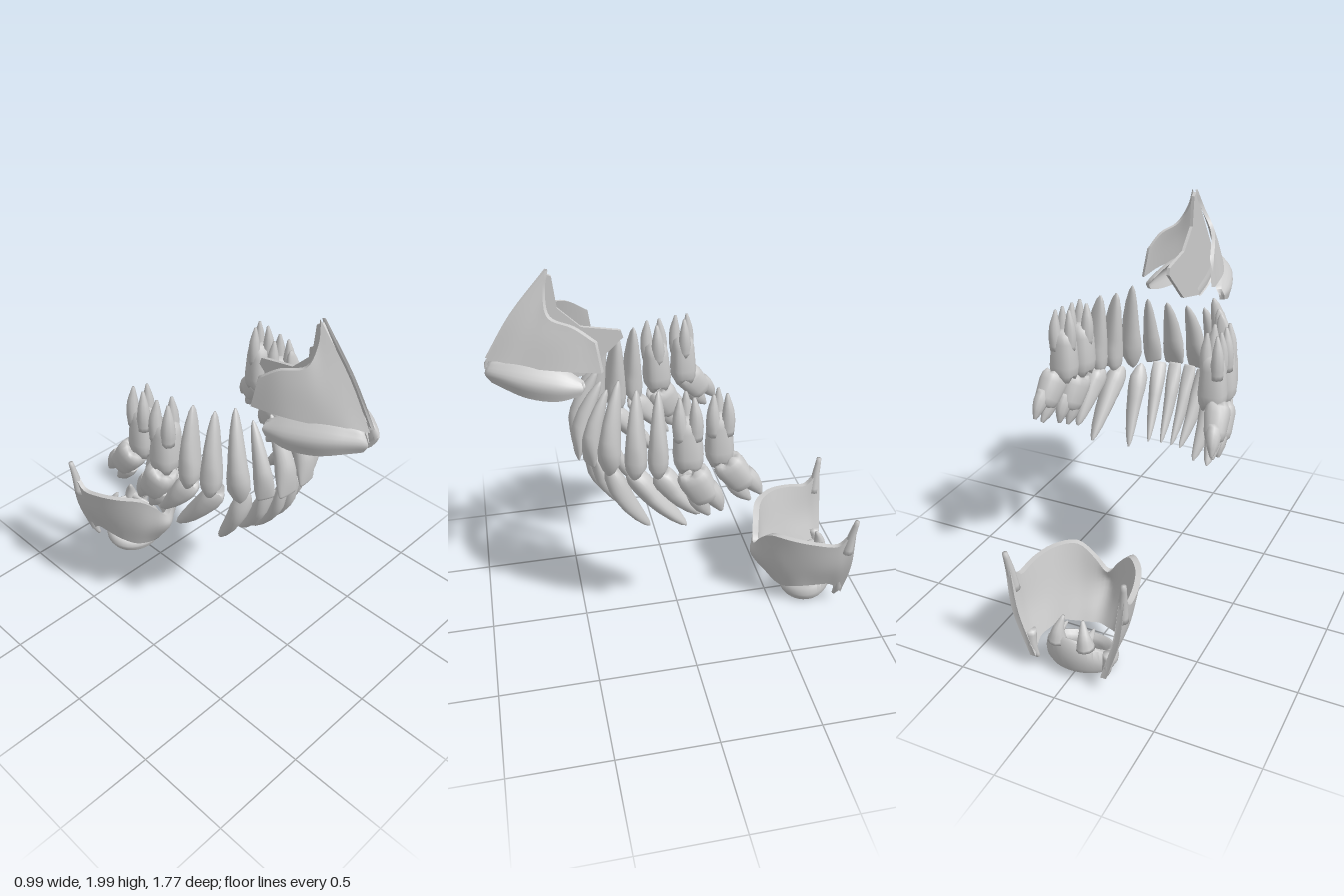
import * as THREE from 'three';
import { mergeGeometries, toCreasedNormals } from 'three/addons/utils/BufferGeometryUtils.js';

const V = (x, y, z) => new THREE.Vector3(x, y, z);
const material = new THREE.MeshStandardMaterial({ color: 0xcccccc, roughness: 0.7 });

// Skin a list of closed loops; ends are capped unless the loops form a ring.
function loft(loops, ring = false) {
  const n = loops[0].length, pts = loops.flat(), idx = [];
  const rows = ring ? loops.length : loops.length - 1;
  for (let i = 0; i < rows; i++) for (let j = 0; j < n; j++) {
    const k = (j + 1) % n, i2 = (i + 1) % loops.length;
    const a = i * n + j, b = i * n + k, c = i2 * n + j, d = i2 * n + k;
    idx.push(a, b, c, b, d, c);
  }
  if (!ring) for (const [i, end] of [[0, false], [loops.length - 1, true]]) {
    const c = pts.length;
    pts.push(loops[i].reduce((m, p) => m.add(p), V(0, 0, 0)).divideScalar(n));
    for (let j = 0; j < n; j++) {
      const a = i * n + j, b = i * n + (j + 1) % n;
      end ? idx.push(c, a, b) : idx.push(c, b, a);
    }
  }
  // turn the faces outward whichever way the loops run
  let volume = 0;
  for (let i = 0; i < idx.length; i += 3)
    volume += pts[idx[i]].dot(V(0, 0, 0).crossVectors(pts[idx[i + 1]], pts[idx[i + 2]]));
  if (volume < 0) idx.reverse();
  const g = new THREE.BufferGeometry().setFromPoints(pts);
  g.setIndex(idx);
  g.computeVertexNormals();
  return g;
}

// Tapered, curved body with round sections through a few points.
function spike(points, radii, flat = 1) {
  const curve = new THREE.CatmullRomCurve3(points), loops = [];
  for (let i = 0; i <= 8; i++) {
    const t = i / 8, f = t * (radii.length - 1), k = Math.min(Math.floor(f), radii.length - 2);
    const r = THREE.MathUtils.lerp(radii[k], radii[k + 1], f - k);
    const a = curve.getTangent(t), w = V(1, 0, 0).addScaledVector(a, -a.x).normalize();
    const d = V(0, 0, 0).crossVectors(a, w), c = curve.getPoint(t);
    loops.push(Array.from({ length: 10 }, (_, j) => {
      const q = j * Math.PI / 5;
      return c.clone().addScaledVector(w, r * Math.cos(q)).addScaledVector(d, r * flat * Math.sin(q));
    }));
  }
  return loft(loops);
}

// Curved plate: smooth through stations of points, given thickness by an inner-surface rule.
function plate(stations, inner, nu = 20, nv = 8) {
  const rows = stations[0].map((_, r) => new THREE.CatmullRomCurve3(stations.map(s => V(...s[r]))));
  const loops = [];
  for (let i = 0; i <= nu; i++) {
    const section = new THREE.CatmullRomCurve3(rows.map(c => c.getPoint(i / nu)));
    const outer = section.getPoints(nv);
    loops.push([...outer, ...outer.map(inner).reverse()]);
  }
  return toCreasedNormals(loft(loops), 1);
}

// Tooth sections from biting edge to root: [position, width, depth]
const rootEnd = [[0.42, 0.84, 1], [0.6, 0.7, 0.88], [0.8, 0.5, 0.64], [0.94, 0.28, 0.36], [1, 0.08, 0.1]];
const profiles = {
  incisor: [[0, 0.8, 0.16], [0.03, 0.9, 0.3], [0.15, 1, 0.62], [0.3, 0.95, 0.97], ...rootEnd],
  canine: [[0, 0.14, 0.12], [0.05, 0.55, 0.4], [0.16, 0.98, 0.78], [0.29, 0.98, 1], ...rootEnd],
  premolar: [[0.08, 0.08, 0.08], [0.04, 0.45, 0.45], [0.02, 0.68, 0.7], [0.09, 0.92, 0.93], [0.2, 1, 1], [0.32, 0.94, 0.97], ...rootEnd],
  molar: [[0.1, 0.08, 0.08], [0.06, 0.4, 0.4], [0.03, 0.74, 0.74], [0.1, 0.95, 0.94], [0.22, 1, 1], [0.4, 0.93, 0.92], [0.55, 0.87, 0.85], [0.66, 0.76, 0.72], [0.71, 0.4, 0.4]],
};
// Root positions across a molar, in widths and depths (outward positive)
const rootSpots = { upper: [[-0.24, 0.2], [0.24, 0.2], [0, -0.24]], lower: [[-0.22, 0], [0.22, 0]] };

function tooth(kind, jaw, crown, tip, w, d, tangent) {
  const A = tip.clone().sub(crown), L = A.length();
  A.normalize();
  const W = tangent.clone().addScaledVector(A, -tangent.dot(A)).normalize();
  const D = V(0, 0, 0).crossVectors(A, W);
  const side = Math.sign(D.dot(V(crown.x, 0, crown.z + 0.1)));
  const bow = { incisor: 0.025, canine: 0.025, premolar: 0.012, molar: 0 }[kind];
  const at = (t, u, v) => crown.clone().addScaledVector(A, t * L)
    .addScaledVector(W, u).addScaledVector(D, v + side * bow * Math.sin(Math.PI * t));
  const cusps = { premolar: 2, molar: 4 }[kind] || 0;
  const loops = profiles[kind].map(([t, ws, ds]) => Array.from({ length: 20 }, (_, j) => {
    const q = j * Math.PI / 10, c = Math.cos(q), n = Math.sin(q);
    const square = cusps ? Math.pow(c ** 4 + n ** 4, -0.13) : 1;
    const wave = cusps === 4 ? Math.cos(4 * q) : cusps ? Math.cos(2 * q) : 0;
    const lift = t < 0.08 ? 0.04 * wave : 0;
    return at(t + lift, c * square * ws * w / 2, n * square * ds * d / 2);
  }));
  const parts = [loft(loops)];
  if (kind === 'molar') for (const [u, v] of rootSpots[jaw]) {
    const path = [[0.45, 0.9], [0.72, 1.1], [1, 0.95]].map(([t, k]) => at(t, u * w * k, side * v * d * k));
    const r = 0.25 * w;
    parts.push(spike(path, [r, r, r * 0.75, r * 0.2], jaw === 'lower' ? 1.25 : 1));
  }
  return mergeGeometries(parts);
}

// kind, crown xyz, root tip xyz, width, depth; one side from the middle backwards
const jaws = {
  upper: [
    ['incisor', [0.066, 1.08, 0.5], [0.055, 1.46, 0.37], 0.115, 0.085],
    ['incisor', [0.165, 1.09, 0.455], [0.155, 1.47, 0.355], 0.095, 0.085],
    ['canine', [0.25, 1.07, 0.375], [0.22, 1.545, 0.31], 0.11, 0.11],
    ['premolar', [0.315, 1.1, 0.255], [0.275, 1.52, 0.24], 0.1, 0.115],
    ['premolar', [0.355, 1.12, 0.16], [0.32, 1.53, 0.15], 0.095, 0.115],
    ['molar', [0.38, 1.15, 0.025], [0.37, 1.525, 0.035], 0.14, 0.15],
    ['molar', [0.39, 1.17, -0.115], [0.385, 1.535, -0.11], 0.13, 0.135],
  ],
  lower: [
    ['incisor', [0.042, 1.1, 0.46], [0.03, 0.72, 0.25], 0.076, 0.085],
    ['incisor', [0.12, 1.1, 0.435], [0.09, 0.73, 0.22], 0.08, 0.085],
    ['canine', [0.2, 1.1, 0.375], [0.185, 0.7, 0.175], 0.095, 0.1],
    ['premolar', [0.28, 1.1, 0.275], [0.32, 0.78, 0.02], 0.1, 0.1],
    ['premolar', [0.34, 1.125, 0.16], [0.375, 0.88, -0.03], 0.11, 0.105],
    ['molar', [0.39, 1.15, 0.025], [0.42, 0.91, -0.095], 0.155, 0.13],
    ['molar', [0.425, 1.21, -0.125], [0.455, 1.0, -0.275], 0.145, 0.12],
  ],
};

// Nose plates, top to bottom at each station, from the ridge outward
const lateral = [
  [[0.014, 2, 0.58], [0.014, 1.8, 0.75], [0.016, 1.6, 0.875]],
  [[0.045, 1.91, 0.6], [0.07, 1.76, 0.69], [0.075, 1.61, 0.79]],
  [[0.1, 1.82, 0.59], [0.12, 1.73, 0.62], [0.13, 1.6, 0.68]],
  [[0.15, 1.785, 0.49], [0.165, 1.7, 0.51], [0.18, 1.595, 0.54]],
  [[0.18, 1.72, 0.4], [0.19, 1.65, 0.39], [0.2, 1.58, 0.38]],
];
const alar = [
  [[0.016, 1.47, 0.64], [0.022, 1.445, 0.65], [0.016, 1.42, 0.66]],
  [[0.018, 1.52, 0.78], [0.024, 1.485, 0.79], [0.018, 1.45, 0.78]],
  [[0.03, 1.595, 0.86], [0.035, 1.55, 0.885], [0.03, 1.5, 0.86]],
  [[0.07, 1.615, 0.79], [0.11, 1.56, 0.81], [0.09, 1.495, 0.81]],
  [[0.11, 1.62, 0.69], [0.17, 1.55, 0.71], [0.15, 1.465, 0.71]],
  [[0.15, 1.6, 0.57], [0.212, 1.53, 0.57], [0.2, 1.46, 0.58]],
  [[0.2, 1.54, 0.47], [0.217, 1.515, 0.465], [0.215, 1.485, 0.48]],
];
const septum = [[0.86, 1.53], [0.83, 1.63], [0.58, 1.985], [0.555, 1.97], [0.54, 1.82], [0.44, 1.72],
  [0.26, 1.685], [0.25, 1.65], [0.44, 1.475], [0.65, 1.425], [0.8, 1.47]];
// Half of the throat shield, from the front edge backwards
const shield = [
  [[0, 0.35, -0.42], [0, 0.29, -0.405], [0, 0.11, -0.52]],
  [[0.07, 0.43, -0.435], [0.08, 0.28, -0.46], [0.06, 0.11, -0.535]],
  [[0.15, 0.505, -0.465], [0.145, 0.3, -0.505], [0.12, 0.12, -0.565]],
  [[0.235, 0.515, -0.56], [0.205, 0.31, -0.595], [0.175, 0.15, -0.63]],
  [[0.28, 0.5, -0.68], [0.245, 0.31, -0.7], [0.195, 0.16, -0.72]],
  [[0.292, 0.485, -0.79], [0.265, 0.32, -0.8], [0.205, 0.16, -0.8]],
  [[0.295, 0.53, -0.84], [0.27, 0.33, -0.85], [0.205, 0.11, -0.85]],
  [[0.3, 0.55, -0.875], [0.275, 0.33, -0.88], [0.2, 0.09, -0.87]],
];

export function createModel() {
  const model = new THREE.Group();
  const add = (name, geometry, parent) => {
    const mesh = new THREE.Mesh(geometry, material);
    mesh.name = name;
    parent.add(mesh);
  };
  const group = name => {
    const g = new THREE.Group();
    g.name = name;
    model.add(g);
    return g;
  };
  const sides = [[1, 'left'], [-1, 'right']];
  const flip = (stations, s) => stations.map(c => c.map(([x, y, z]) => [x * s, y, z]));

  // teeth
  for (const jaw in jaws) {
    const row = jaws[jaw], g = group(jaw + 'Teeth');
    for (const [s, side] of sides) row.forEach(([kind, c, t, w, d], i) => {
      const at = p => V(p[0] * s, p[1], p[2]);
      const prev = i ? at(row[i - 1][1]) : V(-c[0] * s, c[1], c[2]);
      const tangent = at(row[Math.min(i + 1, 6)][1]).sub(prev).setY(0);
      if (i === 0) tangent.z *= 0.5;
      add(`${side}${jaw}${kind}${i + 1}`, tooth(kind, jaw, at(c), at(t), w, d, tangent), g);
    });
  }

  // nose
  const nose = group('noseCartilage');
  const shape = new THREE.Shape(septum.map(p => new THREE.Vector2(...p)));
  add('septum', new THREE.ExtrudeGeometry(shape, { depth: 0.016, bevelEnabled: false })
    .rotateY(-Math.PI / 2).translate(0.008, 0, 0), nose);
  for (const [s, side] of sides) {
    const inside = k => p => V(p.x - s * Math.min(k, Math.abs(p.x) * 0.5), p.y, p.z - 0.012);
    add(side + 'LateralCartilage', plate(flip(lateral, s), inside(0.016)), nose);
    add(side + 'NostrilCartilage', plate(flip(alar, s), inside(0.024), 28), nose);
  }

  // throat
  const larynx = group('larynx');
  const full = [...flip(shield, -1).reverse(), ...shield.slice(1)];
  add('throatShield', plate(full, p => V(p.x * (0.84 + 0.14 * p.y), p.y, p.z + (-0.88 - p.z) * 0.07), 56, 10), larynx);

  const ring = [];
  for (let i = 0; i < 36; i++) {
    const q = i * Math.PI / 18, back = (1 - Math.cos(q)) / 2;
    const top = 0.09 + 0.08 * back + 0.06 * back ** 4, bottom = 0.01 + 0.04 * back;
    const p = (k, y) => V(Math.sin(q) * 0.18 * k, y, -0.72 + Math.cos(q) * 0.142 * k);
    ring.push([p(0.88, bottom), p(0.98, bottom + 0.03), p(1, (top + bottom) / 2), p(0.95, top - 0.01),
      p(0.85, top), p(0.71, top - 0.015), p(0.66, (top + bottom) / 2), p(0.72, bottom)]);
  }
  add('throatRing', toCreasedNormals(loft(ring, true), 1), larynx);

  for (const [s, side] of sides) {
    const path = (...pts) => pts.map(([x, y, z]) => V(x * s, y, z));
    add(side + 'UpperHorn', spike(path([0.278, 0.43, -0.845], [0.286, 0.54, -0.857], [0.298, 0.64, -0.873]), [0.028, 0.021, 0.013]), larynx);
    add(side + 'LowerHorn', spike(path([0.205, 0.22, -0.845], [0.195, 0.13, -0.85], [0.175, 0.07, -0.84]), [0.028, 0.022, 0.01]), larynx);
    add(side + 'VocalPyramid', spike(path([0.075, 0.19, -0.825], [0.068, 0.25, -0.825], [0.05, 0.32, -0.8]), [0.046, 0.03, 0.008]), larynx);
    add(side + 'VocalProcess', spike(path([0.075, 0.225, -0.83], [0.077, 0.225, -0.78], [0.07, 0.23, -0.73]), [0.03, 0.02, 0.004]), larynx);
  }
  return model;
}
